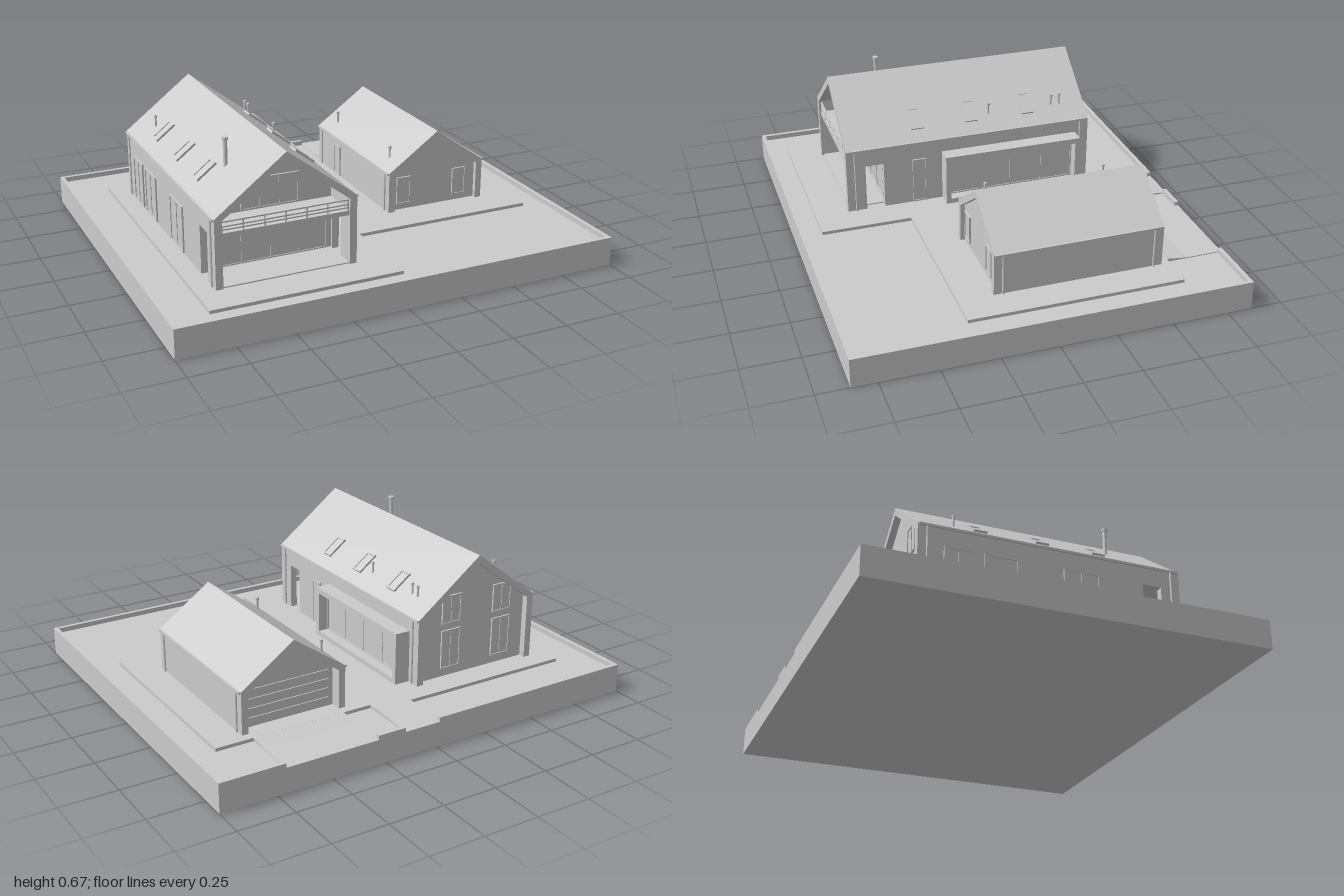
import * as THREE from 'three';

const material = new THREE.MeshStandardMaterial({ color: 0xcccccc, flatShading: true });
const LAWN = 0.107, FLOOR = 0.122;

function add(parent, name, geometry) {
  const mesh = new THREE.Mesh(geometry, material);
  mesh.name = name;
  parent.add(mesh);
  return mesh;
}

function group(parent, name) {
  const g = new THREE.Group();
  g.name = name;
  parent.add(g);
  return g;
}

// Box given by its limits on each axis
function box(parent, name, x0, x1, y0, y1, z0, z1) {
  const mesh = add(parent, name, new THREE.BoxGeometry(x1 - x0, y1 - y0, z1 - z0));
  mesh.position.set((x0 + x1) / 2, (y0 + y1) / 2, (z0 + z1) / 2);
  return mesh;
}

// Outline in x, y pushed along z from z0 to z1
function prism(parent, name, points, z0, z1) {
  const shape = new THREE.Shape(points.map(p => new THREE.Vector2(...p)));
  const geo = new THREE.ExtrudeGeometry(shape, { depth: z1 - z0, bevelEnabled: false });
  geo.translate(0, 0, z0);
  return add(parent, name, geo);
}

function rod(parent, name, x, z, y0, y1, r) {
  const mesh = add(parent, name, new THREE.CylinderGeometry(r, r, y1 - y0, 10));
  mesh.position.set(x, (y0 + y1) / 2, z);
  return mesh;
}

// Framed pane on a wall; side is the direction it faces, at is the wall plane
function pane(parent, name, side, at, a0, a1, y0, y1, mullions = 0) {
  const g = group(parent, name);
  const w = a1 - a0, h = y1 - y0, t = 0.006, c = (a0 + a1) / 2, y = (y0 + y1) / 2;
  box(g, 'glass', -w / 2, w / 2, -h / 2, h / 2, -0.002, 0.002);
  for (const s of [-1, 1]) {
    box(g, 'frameSide', s * (w - t) / 2 - t / 2, s * (w - t) / 2 + t / 2, -h / 2, h / 2, -0.002, 0.006);
    box(g, 'frameRail', -w / 2, w / 2, s * (h - t) / 2 - t / 2, s * (h - t) / 2 + t / 2, -0.002, 0.006);
  }
  for (let i = 1; i <= mullions; i++) {
    const x = -w / 2 + w * i / (mullions + 1);
    box(g, 'mullion', x - t / 2, x + t / 2, -h / 2, h / 2, -0.002, 0.005);
  }
  if (side === 'front' || side === 'back') g.position.set(c, y, at);
  else g.position.set(at, y, c);
  g.rotation.y = { front: 0, back: Math.PI, left: Math.PI / 2, right: -Math.PI / 2 }[side];
}

// Gabled building: chevron roof, recessed core, side walls in z segments, gutters and downpipes
function gabled(parent, name, o) {
  const g = group(parent, name);
  g.position.x = o.x;
  const { half, eave, ridge, thick, z0, z1 } = o;
  const inner = half - thick, slope = (ridge - eave) / half, low = eave - 0.035;
  const innerRidge = ridge - 0.036, innerEave = innerRidge - inner * slope;
  prism(g, 'roof', [[-half, low], [-inner, low], [-inner, innerEave], [0, innerRidge], [inner, innerEave],
    [inner, low], [half, low], [half, eave], [0, ridge], [-half, eave]], z0, z1);
  prism(g, 'core', [[-inner, FLOOR - 0.01], [inner, FLOOR - 0.01], [inner, innerEave], [0, innerRidge], [-inner, innerEave]],
    z0 + o.backRecess, z1 - o.frontRecess);
  for (const s of [-1, 1]) {
    const a = Math.min(s * inner, s * half), b = a + thick;
    for (const [w0, w1] of o.walls) box(g, 'sideWall', a, b, FLOOR - 0.01, low, w0, w1);
    const e = s * (half + 0.003);
    box(g, 'gutter', e - 0.005, e + 0.005, eave - 0.01, eave, z0 + 0.004, z1 - 0.004);
    for (const z of [z0 + 0.04, z1 - 0.04]) rod(g, 'downpipe', e, z, FLOOR, eave - 0.005, 0.005);
  }
  return g;
}

// Pipe standing on a roof, with a wider cap
function vent(parent, name, x, z, y0, y1, r) {
  rod(parent, name, x, z, y0, y1, r);
  rod(parent, name + 'Cap', x, z, y1 - 0.012, y1, r * 1.5);
}

function buildGround(root) {
  const g = group(root, 'ground');
  box(g, 'baseSlab', -1, 1, 0, LAWN, -0.86, 0.86);
  // Low boundary wall with gaps for path and driveway
  box(g, 'curbFront', -1, 1, LAWN, 0.13, 0.842, 0.86);
  for (const s of [-1, 1]) box(g, 'curbSide', s * 0.991 - 0.009, s * 0.991 + 0.009, LAWN, 0.13, -0.842, 0.842);
  for (const [a, b] of [[-1, -0.015], [0.155, 0.285], [0.71, 1]]) box(g, 'curbBack', a, b, LAWN, 0.13, -0.86, -0.842);
  // Raised paving around both buildings
  const outline = [[-0.82, 0.76], [0.03, 0.76], [0.03, 0.35], [0.88, 0.35], [0.88, -0.6], [0.155, -0.6],
    [0.155, -0.67], [-0.015, -0.67], [-0.015, -0.65], [-0.82, -0.65]];
  const paving = prism(g, 'paving', outline.map(([x, z]) => [x, -z]), LAWN - 0.002, FLOOR);
  paving.rotation.x = -Math.PI / 2;
  // Path and driveway ramps, profiles in z, y swept along x
  const ramp = (name, x0, x1, top, foot) => {
    const profile = [[0.86, 0.1], [0.86, 0.111], [foot, 0.111], [top, FLOOR + 0.001], [top, 0.1]];
    prism(g, name, profile, x0, x1).rotation.y = Math.PI / 2;
  };
  ramp('pathRamp', -0.015, 0.155, 0.67, 0.85);
  ramp('drivewayRamp', 0.285, 0.71, 0.59, 0.69);
}

function buildHouse(root) {
  const cx = -0.425, slope = 0.238 / 0.312;
  const g = gabled(root, 'house', {
    x: cx, half: 0.312, eave: 0.427, ridge: 0.665, thick: 0.032, z0: -0.56, z1: 0.608,
    frontRecess: 0.185, backRecess: 0.03, walls: [[-0.56, 0.435], [0.52, 0.608]],
  });
  // Lintels and balcony over the porch
  for (const s of [-1, 1]) box(g, 'porchLintel', s * 0.296 - 0.016, s * 0.296 + 0.016, 0.34, 0.395, 0.435, 0.52);
  box(g, 'porchFloor', -0.28, 0.28, FLOOR - 0.01, 0.127, 0.42, 0.6);
  box(g, 'balconyFloor', -0.28, 0.28, 0.34, 0.36, 0.42, 0.6);
  for (const y of [0.373, 0.387, 0.407]) box(g, 'balconyRail', -0.28, 0.28, y - 0.003, y + 0.003, 0.592, 0.598);
  for (let i = 0; i <= 6; i++) {
    const x = -0.277 + i * 0.0923;
    box(g, 'balconyPost', x - 0.003, x + 0.003, 0.36, 0.408, 0.591, 0.597);
  }
  // Windows and doors
  pane(g, 'porchGlazing', 'front', 0.425, -0.26, 0.26, 0.13, 0.335, 3);
  pane(g, 'balconyGlazing', 'front', 0.425, -0.13, 0.13, 0.365, 0.5, 2);
  for (const [a, b] of [[-0.205, -0.105], [0.07, 0.17]]) {
    pane(g, 'backLowerWindow', 'back', -0.532, a, b, 0.16, 0.34, 1);
    pane(g, 'backUpperWindow', 'back', -0.532, a, b, 0.37, 0.5, 1);
  }
  pane(g, 'sideDoor', 'left', 0.313, 0.235, 0.3, 0.125, 0.34);
  for (const [a, b] of [[-0.45, -0.32], [-0.28, -0.13], [0.07, 0.23]])
    pane(g, 'sideWindow', 'right', -0.313, a, b, 0.13, 0.34, 1);
  // Projecting bay: box frame around recessed glass
  const bay = group(g, 'bay');
  const x0 = 0.31, x1 = 0.383;
  box(bay, 'bayRoof', x0, x1, 0.335, 0.36, -0.495, 0.16);
  box(bay, 'bayFloor', x0, x1, FLOOR - 0.01, 0.145, -0.495, 0.16);
  box(bay, 'bayCheek', x0, x1, 0.145, 0.335, -0.495, -0.472);
  box(bay, 'bayCheek', x0, x1, 0.145, 0.335, 0.137, 0.16);
  pane(bay, 'bayGlazing', 'left', x0 + 0.02, -0.472, 0.137, 0.145, 0.335, 3);
  // Skylights on both slopes
  for (const s of [-1, 1]) for (const z of [-0.275, 0, 0.258]) {
    const sky = group(g, 'skylight');
    const d = 0.22;
    sky.position.set(s * d, 0.665 - d * slope + 0.002, z);
    sky.rotation.z = -s * Math.atan(slope);
    box(sky, 'glass', -0.05, 0.05, -0.004, 0.004, -0.026, 0.026);
    for (const k of [-1, 1]) {
      box(sky, 'frameSide', -0.054, 0.054, -0.006, 0.008, k * 0.026 - 0.004, k * 0.026 + 0.004);
      box(sky, 'frameEnd', k * 0.05 - 0.004, k * 0.05 + 0.004, -0.006, 0.008, -0.03, 0.03);
    }
  }
  // Chimney pipe and roof vents
  vent(g, 'chimney', -0.16, 0.345, 0.53, 0.665, 0.009);
  vent(g, 'roofVent', -0.225, -0.38, 0.48, 0.545, 0.005);
  for (const z of [-0.44, -0.4, -0.09]) vent(g, 'roofVent', 0.235, z, 0.47, 0.535, 0.005);
}

function buildGarage(root) {
  const g = gabled(root, 'garage', {
    x: 0.498, half: 0.243, eave: 0.312, ridge: 0.483, thick: 0.03, z0: -0.56, z1: 0.195,
    frontRecess: 0.02, backRecess: 0.05, walls: [[-0.56, 0.195]],
  });
  // Garage door with horizontal panels
  for (let i = 0; i < 4; i++) {
    const y = 0.125 + i * 0.042;
    box(g, 'garageDoorPanel', -0.19, 0.19, y, y + 0.039, -0.515, -0.507);
  }
  for (const x of [-0.16, 0.13]) pane(g, 'frontWindow', 'front', 0.177, x - 0.035, x + 0.035, 0.15, 0.28);
  pane(g, 'sideDoor', 'right', -0.244, -0.38, -0.31, 0.125, 0.275);
  for (const z of [-0.46, 0.09]) vent(g, 'roofVent', -0.188, z, 0.34, 0.405, 0.005);
}

export function createModel() {
  const root = new THREE.Group();
  root.name = 'houseAndGarage';
  buildGround(root);
  buildHouse(root);
  buildGarage(root);
  return root;
}
